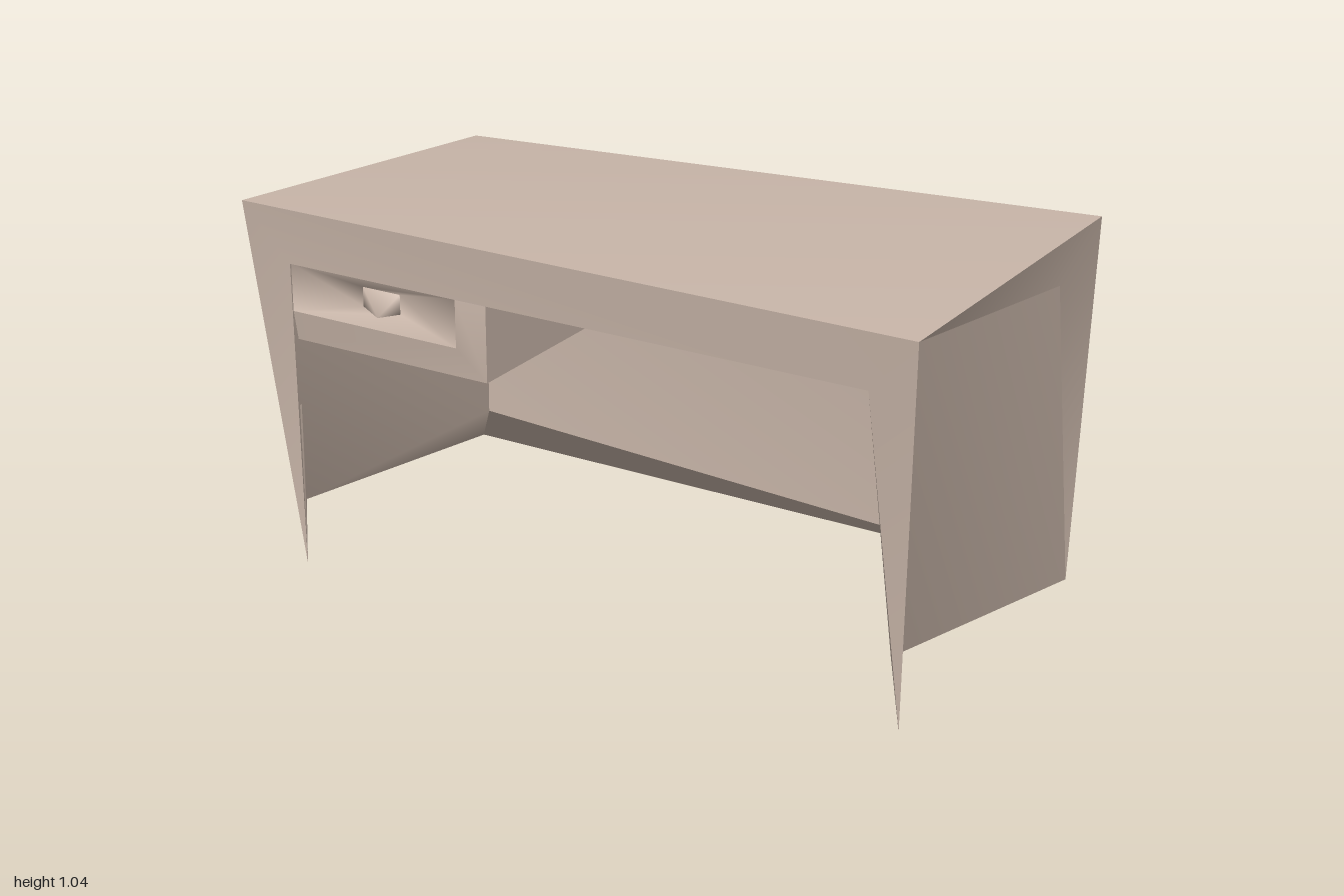
import * as THREE from 'three';

const wood = new THREE.MeshStandardMaterial({ color: 0xcbb8ab, side: THREE.DoubleSide });
wood.name = 'taupe wood';

// Named corners of the desk: R = +x side, L = -x side
const P = {
  frontTopR: [1, 1.045, 0.525], frontTopL: [-1, 1.045, 0.525],
  backTopR: [1, 1.045, -0.535], backTopL: [-0.97, 0.957, -0.51],
  backFootR: [0.97, 0, -0.505], backFootL: [-0.97, 0, -0.51],
  tipR: [0.97, 0, 0.5], tipL: [-0.87, 0, 0.49],
  heelR: [0.89, 0.14, 0.395], heelL: [-0.94, 0.14, 0.395], heelBack: [-0.87, 0.14, -0.4],
  // corners where the outer frames meet the sunken panels
  insetR: [0.95, 0.885, -0.4], insetL: [-0.945, 0.885, 0.38], insetBack: [0.87, 0.885, -0.495],
  // corners of the knee space
  openR: [0.86, 0.885, 0.5], openL: [-0.865, 0.885, 0.505],
  innerR: [0.86, 0.885, -0.4], innerL: [-0.865, 0.885, -0.4],
};

// Sheet of triangles and quads between named corners, smooth inside one sheet
function sheet(name, faces, pts = P) {
  const keys = [...new Set(faces.flat())];
  const index = faces.flatMap((f) => {
    const i = f.map((k) => keys.indexOf(k));
    return i.length === 4 ? [i[0], i[1], i[2], i[0], i[2], i[3]] : i;
  });
  const geo = new THREE.BufferGeometry();
  geo.setAttribute('position', new THREE.Float32BufferAttribute(keys.flatMap((k) => pts[k]), 3));
  geo.setIndex(index);
  geo.computeVertexNormals();
  const mesh = new THREE.Mesh(geo, wood);
  mesh.name = name;
  return mesh;
}

// Corners of an upright rectangle, named with a prefix
function rect(prefix, x0, x1, y0, y1, z) {
  return {
    [prefix + 0]: [x0, y0, z], [prefix + 1]: [x1, y0, z],
    [prefix + 2]: [x1, y1, z], [prefix + 3]: [x0, y1, z],
  };
}

// Ring of quads joining two rectangles
const ring = (a, b, sides = [0, 1, 2, 3]) =>
  sides.map((i) => [a + i, a + ((i + 1) % 4), b + ((i + 1) % 4), b + i]);

export function createModel() {
  const desk = new THREE.Group();
  desk.name = 'desk';

  // Table top and front frame with tapered legs
  desk.add(sheet('tableTop', [['frontTopL', 'frontTopR', 'backTopR', 'backTopL']]));
  desk.add(sheet('frontFrame', [
    ['frontTopL', 'openL', 'openR', 'frontTopR'],
    ['frontTopL', 'tipL', 'openL'], ['openR', 'tipR', 'frontTopR'],
  ]));

  // Outer frames of the sides and back
  desk.add(sheet('rightFrame', [
    ['frontTopR', 'insetR', 'backTopR'], ['insetR', 'backFootR', 'backTopR'],
  ]));
  desk.add(sheet('leftFrame', [
    ['backTopL', 'insetL', 'frontTopL'], ['insetL', 'tipL', 'frontTopL'],
    ['insetL', 'heelL', 'tipL'],
  ]));
  desk.add(sheet('backFrame', [
    ['backTopR', 'insetBack', 'backTopL'], ['backTopR', 'backFootR', 'insetBack'],
  ]));

  // Sunken panels
  desk.add(sheet('rightPanel', [
    ['frontTopR', 'heelR', 'backFootR'], ['frontTopR', 'backFootR', 'insetR'],
    ['frontTopR', 'tipR', 'heelR'],
  ]));
  desk.add(sheet('leftPanel', [
    ['backTopL', 'backFootL', 'insetL'], ['backFootL', 'heelL', 'insetL'],
  ]));
  desk.add(sheet('backPanel', [['insetBack', 'backFootR', 'backFootL', 'backTopL']]));

  // Inner faces of the knee space
  desk.add(sheet('ceiling', [['openL', 'innerL', 'innerR', 'openR']]));
  desk.add(sheet('innerRight', [
    ['innerR', 'backFootR', 'openR'], ['backFootR', 'heelR', 'openR'], ['heelR', 'tipR', 'openR'],
  ]));
  desk.add(sheet('innerLeft', [
    ['openL', 'tipL', 'heelL'], ['openL', 'heelL', 'heelBack', 'innerL'],
    ['heelL', 'backFootL', 'heelBack'],
  ]));
  desk.add(sheet('innerBack', [['innerL', 'heelBack', 'backFootR', 'innerR']]));
  desk.add(sheet('backBottomEdge', [['heelBack', 'backFootL', 'backFootR']]));

  // Drawer: box sides, bevelled rim, dished face and pointed pull
  const D = {
    ...rect('back', -0.865, -0.25, 0.665, 0.885, -0.4),
    ...rect('rim', -0.865, -0.25, 0.665, 0.885, 0.485),
    ...rect('face', -0.865, -0.335, 0.75, 0.885, 0.5),
    ...rect('dish', -0.66, -0.54, 0.79, 0.845, 0.46),
    pullTip: [-0.56, 0.8, 0.533],
  };
  const drawer = new THREE.Group();
  drawer.name = 'drawer';
  drawer.add(
    sheet('drawerBottom', ring('back', 'rim', [0]), D),
    sheet('drawerSide', ring('back', 'rim', [1]), D),
    sheet('drawerRim', ring('rim', 'face', [0, 1]), D),
    sheet('drawerFace', ring('face', 'dish'), D),
    sheet('drawerPull', [0, 1, 2, 3].map((i) => ['dish' + i, 'dish' + ((i + 1) % 4), 'pullTip']), D),
  );
  desk.add(drawer);
  return desk;
}
